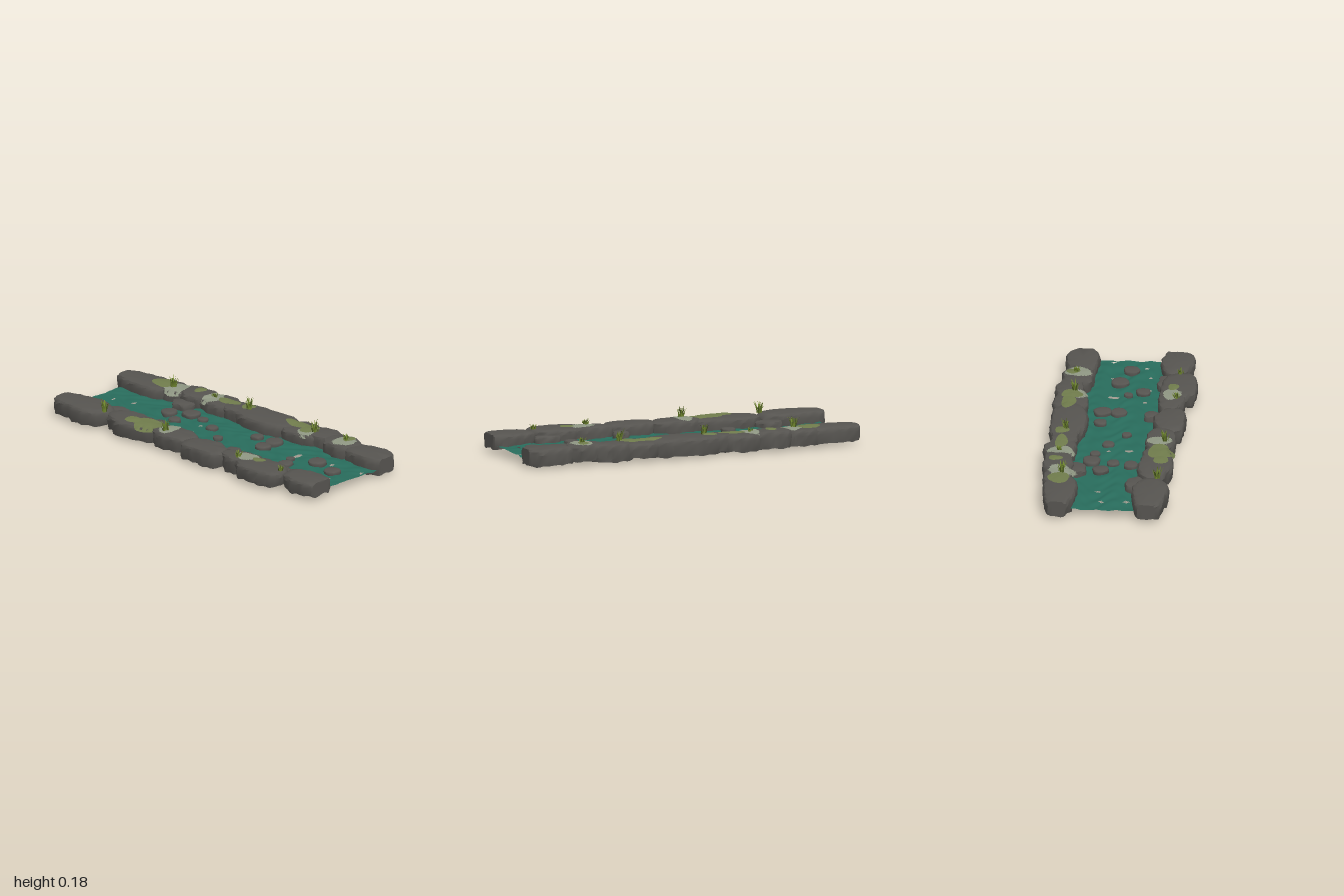
import * as THREE from 'three';
import { toCreasedNormals } from 'three/addons/utils/BufferGeometryUtils.js';

const mat = (name, color, side = THREE.DoubleSide) => {
  const m = new THREE.MeshStandardMaterial({ color, side });
  m.name = name;
  return m;
};

const wobble = (x, y, z) => Math.sin(x * 47 + y * 61 + z * 29) * Math.cos(z * 53 - x * 31 + y * 37);

// Closed rings of points joined into one skin
function loft(rings) {
  const n = rings[0].length, pos = rings.flat().flatMap(p => [p.x, p.y, p.z]), index = [];
  for (let k = 0; k < rings.length - 1; k++) for (let i = 0; i < n; i++) {
    const a = k * n + i, b = k * n + (i + 1) % n;
    index.push(a, a + n, b, b, a + n, b + n);
  }
  const g = new THREE.BufferGeometry();
  g.setAttribute('position', new THREE.Float32BufferAttribute(pos, 3));
  g.setIndex(index);
  g.computeVertexNormals();
  return g;
}

// Worn boulder shell, open below: a lumpy oval in plan, cut flat at the stream's ends
const PROFILE = [[0.92, 0], [0.96, 0.2], [1, 0.64], [0.97, 0.84], [0.89, 0.95], [0.7, 0.99], [0, 1.02]];
function boulder(i, x, z, rx, rz, top, bottom, lump = 1) {
  const oval = c => Math.sign(c) * Math.abs(c) ** (2 / 2.2);
  return toCreasedNormals(loft(PROFILE.map(([s, h]) => Array.from({ length: 36 }, (_, k) => {
    const a = k / 36 * Math.PI * 2;
    const r = s * (1 + lump * (0.035 * Math.sin(3 * a + i * 2) + 0.025 * Math.sin(5 * a + i * 5))) / 100;
    const q = new THREE.Vector3(x / 100 + rx * r * oval(Math.cos(a)), bottom + (top - bottom) * h, z / 100 + rz * r * oval(Math.sin(a)));
    const w = wobble(q.x, q.y, q.z) * s * lump;
    q.y = Math.max(q.y + w * (h < 0.5 ? 0.008 : 0.002), 0);
    q.x += w * 0.006;
    q.z = THREE.MathUtils.clamp(q.z + w * 0.005, -1, 1);
    return q;
  }))), 0.65);
}

// Layout in hundredths: x, z, half width, half length
const RIGHT_BANK = [[-25.5, -82, 10, 21], [-16, -65, 5.5, 8], [-25, -41, 9.5, 22], [-25, -13, 8.5, 16], [-28, 14, 9, 16],
  [-17, 24, 5, 4.5], [-26, 40, 7.5, 15], [-29, 58, 10.5, 17], [-20, 67, 4.5, 8], [-25, 89, 9.5, 15.5]];
const LEFT_BANK = [[24.5, -82, 9.5, 21], [27, -64, 8, 14], [29, -46, 8.5, 13], [18, -48, 5, 7], [29, -28, 9, 14], [28, -13, 7.5, 12],
  [28, 6, 10.5, 25], [29, 34, 10, 15], [31, 50, 8, 13], [28, 65, 9, 12], [27.5, 87, 9.5, 16.5]];
const LICHEN = [[25, -60, 7.5, 7], [-25, -17, 7, 5], [-26, 44, 5, 7], [28, -34, 7.5, 5], [26, 40, 6, 5], [28, 67, 7.5, 6]];
const MOSS = [[-27, -31, 7.5, 9], [-28, -41, 4, 6], [26, -70, 6, 7], [30, -46, 4, 3], [29, -23, 3.5, 8], [30, -9, 4, 4],
  [30, 29, 4, 9], [29, 39, 6, 5], [-26, 53, 3, 4], [31, 67, 4, 3]];
// x, z, radius
const STONES = [[5, -46, 4.5], [-11, -38, 4], [-1, -36, 3.5], [11, -35, 5], [10, -25, 3], [4, -12, 3.4], [-5, 1, 2.8],
  [11, 16, 3.5], [2, 29, 4.5], [11, 29, 5], [-9, 57, 4], [5, 68, 5], [0, 84, 4.5], [-1, 53, 2.4]];
// x, z, half width
const GAPS = [[-13, -84, 1.8], [1, -85, 1.4], [4, -72, 1.6], [-8, -18, 2.4], [3, -20, 1.2], [7, 51, 3.2],
  [-12, 60, 1.6], [-11, 45, 1.2], [-17, 28, 1.2], [-11, 78, 1.2], [9, 75, 1.6], [-8, 89, 1.2], [11, 96, 1.4]];
// x, z, height
const TUFTS = [[-28, -64, 7], [-28, -17, 7], [-29, 40, 4], [-28, 72, 3.5], [25, -62, 7], [29, -34, 3], [28, -7, 7], [28, 44, 7], [29, 67, 4]];

// Rippled water sheet with small gaps, tucked under both banks
function waterSheet() {
  const g = new THREE.PlaneGeometry(0.5, 1.94, 60, 210).rotateX(-Math.PI / 2).translate(0, 0, 0.015);
  const p = g.attributes.position, src = g.index.array, index = [];
  for (let i = 0; i < p.count; i++) {
    const x = p.getX(i), z = p.getZ(i);
    p.setY(i, 0.046 + 0.004 * Math.sin(z * 17 + 3 * Math.sin(x * 17)) * Math.cos(x * 23 + 4 * Math.sin(z * 7)) + 0.0015 * Math.sin(z * 61 + 4 * Math.sin(x * 29)));
    if (Math.abs(z - 0.015) > 0.965) p.setZ(i, z + 0.004 * Math.sin(x * 45));
  }
  for (let i = 0; i < src.length; i += 3) {
    const t = [src[i], src[i + 1], src[i + 2]];
    const x = t.reduce((s, k) => s + p.getX(k), 0) * 100 / 3, z = t.reduce((s, k) => s + p.getZ(k), 0) * 100 / 3;
    if (!GAPS.some(([a, b, w]) => ((x - a) / w) ** 2 + ((z - b) / (0.6 + w / 4)) ** 2 < 1)) index.push(...t);
  }
  g.setIndex(index);
  g.computeVertexNormals();
  return g;
}

// Bent, tapering grass blade
function grassBlade(h, w, lean) {
  const g = new THREE.PlaneGeometry(w, h, 1, 4).translate(0, h / 2, 0), p = g.attributes.position;
  for (let i = 0; i < p.count; i++) {
    const t = p.getY(i) / h;
    p.setX(i, p.getX(i) * (1 - t * t));
    p.setZ(i, lean * t * t);
  }
  g.computeVertexNormals();
  return g;
}

export function createModel() {
  const model = new THREE.Group();
  model.name = 'stream';
  const rock = mat('rock', 0x565450), water = mat('water', 0x286c5c);
  const moss = mat('moss', 0x707c4c), lichen = mat('lichen', 0x8f9783);
  const grass = mat('grass', 0x71882f), darkGrass = mat('dark grass', 0x4c5c22);
  const add = (name, geo, m, parent = model) => {
    const mesh = new THREE.Mesh(geo, m);
    mesh.name = name;
    parent.add(mesh);
    return mesh;
  };
  let seed = 7;
  const rand = () => (seed = (seed * 16807) % 2147483647) / 2147483647;

  // Banks: tall boulders, with narrow low ones at the water's edge
  const rocks = [];
  for (const [name, list] of [['rightBank', RIGHT_BANK], ['leftBank', LEFT_BANK]]) {
    const bank = new THREE.Group();
    bank.name = name;
    model.add(bank);
    list.forEach(([x, z, rx, rz], i) => {
      const low = rx < 6;
      const top = low ? 0.082 : 0.113 + 0.004 * Math.sin(i * 2 + x), bottom = low ? 0.008 : 0.02 + 0.006 * Math.sin(i * 3);
      rocks.push(add('boulder', boulder(i, x, z, rx, rz, top, bottom), rock, bank));
    });
  }

  // Stream and its stones
  add('water', waterSheet(), water);
  STONES.forEach(([x, z, r], i) => add('stone', boulder(i, x, z, r, r, 0.053 + r * 0.0036, 0.036, 0.5), rock));

  // Growth draped over the boulders
  const ray = new THREE.Raycaster(), down = new THREE.Vector3(0, -1, 0);
  const ground = (x, z) => {
    ray.set(new THREE.Vector3(x, 1, z), down);
    const hit = ray.intersectObjects(rocks)[0];
    return Math.max(hit ? hit.point.y : 0, 0.085);
  };
  const patch = (x, z, rx, rz, lift, jag) => {
    const n = 60, edge = Array.from({ length: n }, (_, i) => 0.08 * Math.sin(i / n * Math.PI * 6 + x) + (i % 2 ? jag : -jag) * rand());
    return loft([1, 0.8, 0.6, 0.4, 0.2, 0].map(s => edge.map((e, i) => {
      const a = i / n * Math.PI * 2, k = s * (1 + e * s ** 3) / 100;
      const px = x / 100 + rx * k * Math.cos(a), pz = z / 100 + rz * k * Math.sin(a);
      return new THREE.Vector3(px, ground(px, pz) + lift * (1.3 - 0.6 * s), pz);
    })));
  };
  for (const p of LICHEN) add('lichenPatch', patch(...p, 0.004, 0.1), lichen);
  for (const p of MOSS) add('mossPatch', patch(...p, 0.007, 0.03), moss);

  // Grass tufts
  for (const [x, z, h] of TUFTS) {
    const tuft = new THREE.Group();
    tuft.name = 'grassTuft';
    tuft.position.set(x / 100, ground(x / 100, z / 100) - 0.002, z / 100);
    model.add(tuft);
    for (let i = 0; i < 18; i++) {
      const tall = h / 100 * (0.5 + 0.5 * rand()), a = i * 2.4, r = 0.018 * rand();
      const blade = add('blade', grassBlade(tall, 0.011, tall * (0.1 + 0.4 * rand())), i % 3 ? grass : darkGrass, tuft);
      blade.position.set(Math.sin(a) * r, 0, Math.cos(a) * r);
      blade.rotation.y = a;
    }
  }
  return model;
}
